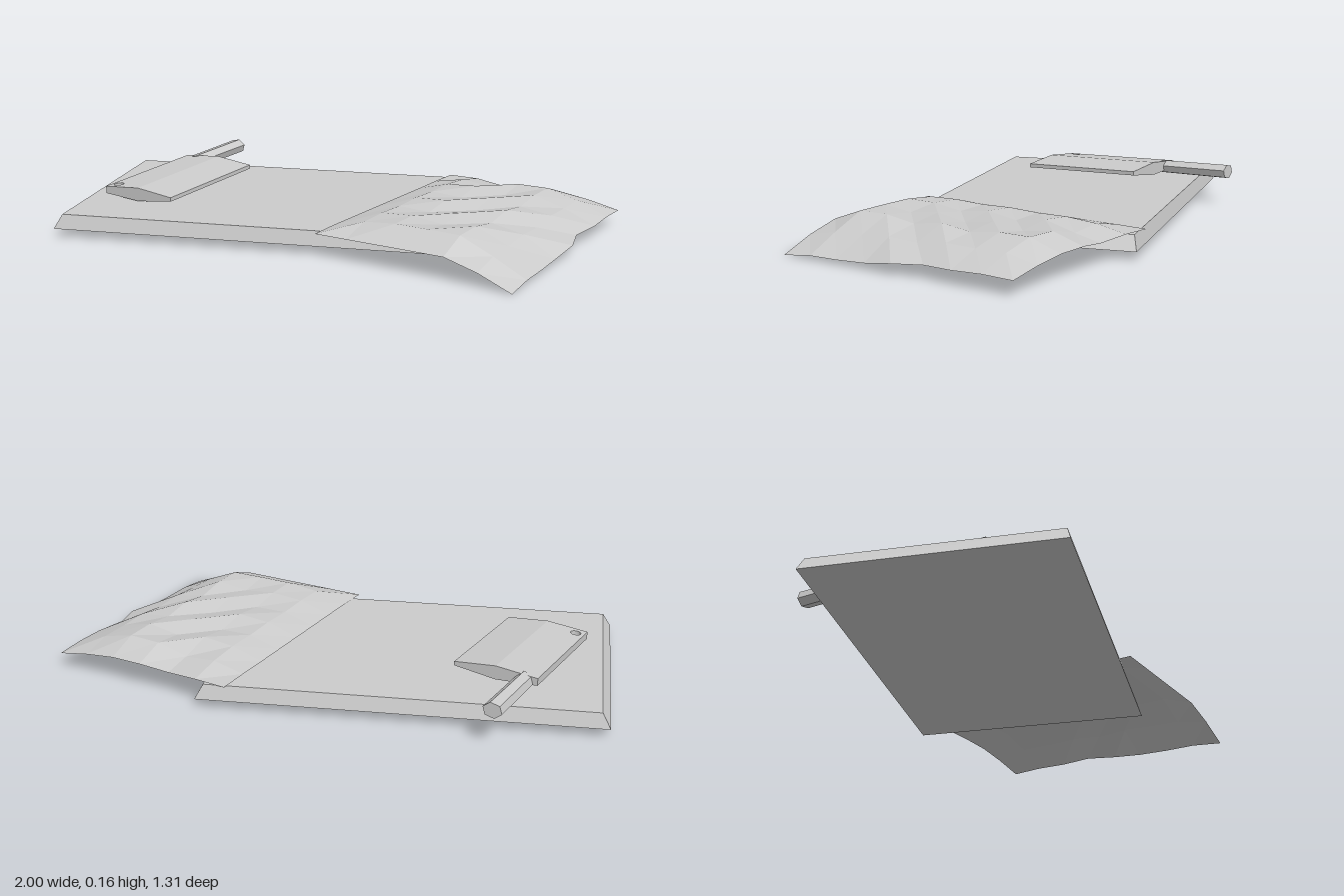
import * as THREE from 'three';

const material = (extra = {}) =>
  new THREE.MeshStandardMaterial({ color: 0xcccccc, flatShading: true, ...extra });

function addMesh(parent, name, geometry, mat = material()) {
  const mesh = new THREE.Mesh(geometry, mat);
  mesh.name = name;
  parent.add(mesh);
  return mesh;
}

// Move every vertex by a rule, then refresh the normals
function reshape(geometry, rule) {
  const p = geometry.attributes.position;
  for (let i = 0; i < p.count; i++) p.setXYZ(i, ...rule(p.getX(i), p.getY(i), p.getZ(i), i));
  geometry.computeVertexNormals();
  return geometry;
}

// Cutting board: a slab whose top is slightly smaller than its base
function boardGeometry() {
  const inset = 0.03, w = 1.43, d = 0.895, h = 0.053;
  return reshape(new THREE.BoxGeometry(w, h, d), (x, y, z) => y > 0
    ? [x - Math.sign(x) * inset, y, z - Math.sign(z) * 0.015]
    : [x, y, z]);
}

// Cleaver blade, in halves either side of a central ridge.
// u runs from spine to cutting edge, v from tip to heel.
const WIDTH = 0.311, LENGTH = 0.507, SLOPE = 0.04;
const SECTION = [[0.095, 0.122], [0.085, 0.136], [0.105, 0.12]]; // bottom, top at spine, ridge, edge

function bladeHalf(index, hole) {
  const u0 = index * WIDTH / 2, u1 = u0 + WIDTH / 2;
  const shape = new THREE.Shape([[u0, 0], [u1, 0], [u1, LENGTH], [u0, LENGTH]]
    .map(([u, v]) => new THREE.Vector2(u, v)));
  if (hole) shape.holes.push(new THREE.Path().absarc(0.032, 0.038, 0.019, 0, Math.PI * 2, true));
  const geometry = new THREE.ExtrudeGeometry(shape, { depth: 1, bevelEnabled: false, curveSegments: 8 });
  const [a, b] = [SECTION[index], SECTION[index + 1]];
  return reshape(geometry, (u, v, w) => {
    const k = (u - u0) / (u1 - u0);
    const low = THREE.MathUtils.lerp(a[0], b[0], k);
    const high = THREE.MathUtils.lerp(a[1], b[1], k);
    return [u, THREE.MathUtils.lerp(low, high, w) + SLOPE * v, -v];
  });
}

// Cloth heights, rows from back to front, columns from the board outward
const CLOTH = [
  [0.087, 0.090, 0.080, 0.092, 0.090, 0.075, 0.052],
  [0.088, 0.112, 0.100, 0.128, 0.130, 0.100, 0.055],
  [0.087, 0.120, 0.130, 0.112, 0.130, 0.098, 0.050],
  [0.087, 0.118, 0.112, 0.130, 0.115, 0.100, 0.045],
  [0.087, 0.122, 0.130, 0.110, 0.130, 0.085, 0.040],
  [0.087, 0.118, 0.114, 0.130, 0.112, 0.090, 0.022],
  [0.087, 0.122, 0.130, 0.116, 0.130, 0.080, 0.016],
  [0.087, 0.118, 0.130, 0.130, 0.128, 0.075, 0.014],
  [0.084, 0.084, 0.084, 0.084, 0.084, 0.050, 0.000],
];

// Grid stretched between the four corners of the cloth
function clothGeometry() {
  const cols = 6, rows = 8;
  const back = [[0.32, -0.53], [1.0, -0.27]], front = [[-0.01, 0.40], [0.71, 0.65]];
  const mix = THREE.MathUtils.lerp;
  return reshape(new THREE.PlaneGeometry(1, 1, cols, rows), (x, y, z, i) => {
    const c = i % (cols + 1), r = Math.floor(i / (cols + 1));
    const s = c / cols, t = r / rows;
    const at = (k) => mix(mix(back[0][k], back[1][k], s), mix(front[0][k], front[1][k], s), t);
    const pull = c === cols && r === 3 ? -0.02 : c === cols && r === 4 ? 0.012 : 0;
    const sag = r === 0 && c === 2 ? 0.015 : 0;
    return [at(0) + pull, CLOTH[r][c], at(1) + sag];
  });
}

export function createModel() {
  const model = new THREE.Group();
  model.name = 'cuttingBoardSet';

  addMesh(model, 'cuttingBoard', boardGeometry()).position.set(-0.285, 0.0565, -0.0745);

  // Cleaver, placed by the tip corner of its spine
  const cleaver = new THREE.Group();
  cleaver.name = 'cleaver';
  cleaver.position.set(-0.91, 0, 0.08);
  cleaver.rotation.y = -0.328;
  model.add(cleaver);
  addMesh(cleaver, 'bladeSpineHalf', bladeHalf(0, true));
  addMesh(cleaver, 'bladeEdgeHalf', bladeHalf(1, false));

  // Six-sided handle, slightly flattened and rising toward its end
  const handleGeometry = new THREE.CylinderGeometry(0.036, 0.034, 0.3, 6);
  handleGeometry.rotateY(0.25).rotateX(-Math.PI / 2).scale(1, 0.8, 1);
  const handle = addMesh(cleaver, 'handle', handleGeometry);
  handle.position.set(0.05, 0.128, -0.637);
  handle.rotation.x = 0.03;

  addMesh(model, 'cloth', clothGeometry(), material({ side: THREE.DoubleSide }));
  return model;
}
